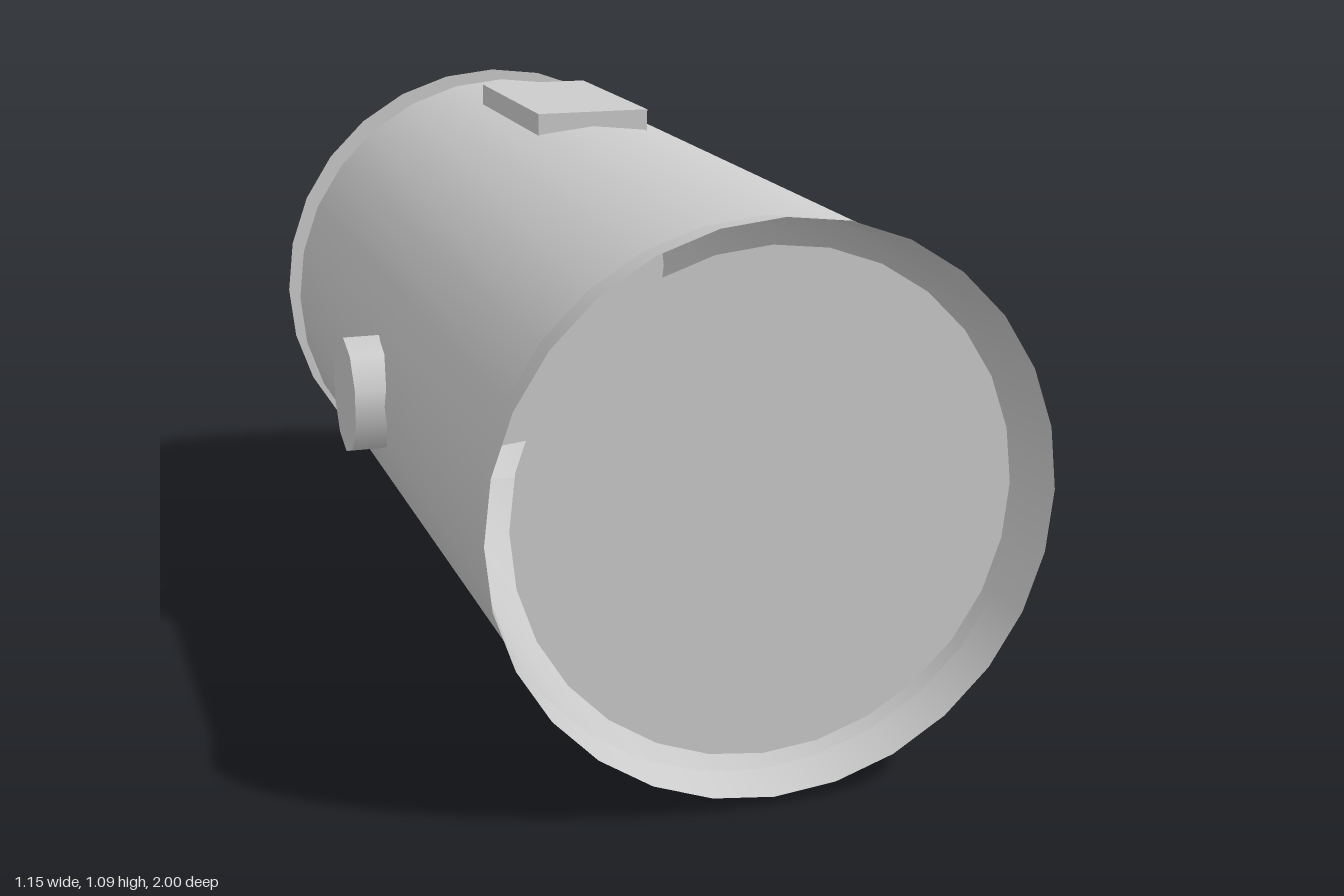
import * as THREE from 'three';

const CENTRE_Y = 0.546;
const SIDES = 28;

export function createModel() {
  const model = new THREE.Group();
  model.name = 'canister';
  const shell = new THREE.MeshStandardMaterial({ color: 0xcccccc, side: THREE.DoubleSide });
  shell.name = 'lightGrey';

  const add = (name, geometry, x, y, z) => {
    const mesh = new THREE.Mesh(geometry, shell);
    mesh.name = name;
    mesh.position.set(x, y, z);
    model.add(mesh);
  };

  // Open tube section along z, from z0 (back) to z1 (front)
  const section = (name, z0, r0, z1, r1) => {
    const tube = new THREE.CylinderGeometry(r1, r0, z1 - z0, SIDES, 1, true).rotateX(Math.PI / 2);
    add(name, tube, 0, CENTRE_Y, (z0 + z1) / 2);
  };

  // Hollow wall: tapered back, straight barrel, flared front lip
  section('backTaper', -1, 0.455, -0.91, 0.515);
  section('barrel', -0.91, 0.515, 0.91, 0.515);
  section('frontFlare', 0.91, 0.515, 1, 0.528);

  // Thin end discs: a wide one at the back, a small recessed one at the front
  add('backDisc', new THREE.CircleGeometry(0.528, SIDES).rotateY(Math.PI), 0, CENTRE_Y, -1);
  add('frontDisc', new THREE.CircleGeometry(0.469, SIDES), 0, CENTRE_Y, 0.94);

  // Side studs
  for (const side of [1, -1]) {
    const stud = new THREE.CylinderGeometry(0.122, 0.122, 0.075, 10, 1, false, Math.PI / 2).rotateZ(Math.PI / 2);
    add(side > 0 ? 'leftStud' : 'rightStud', stud, side * 0.5375, CENTRE_Y, 0);
  }

  // Plates set into the wall: top towards the back, bottom towards the front
  for (const side of [1, -1]) {
    const plate = new THREE.BoxGeometry(0.242, 0.1, 0.485);
    add(side > 0 ? 'topPlate' : 'bottomPlate', plate, 0, CENTRE_Y + side * 0.496, side * -0.365);
  }

  return model;
}
